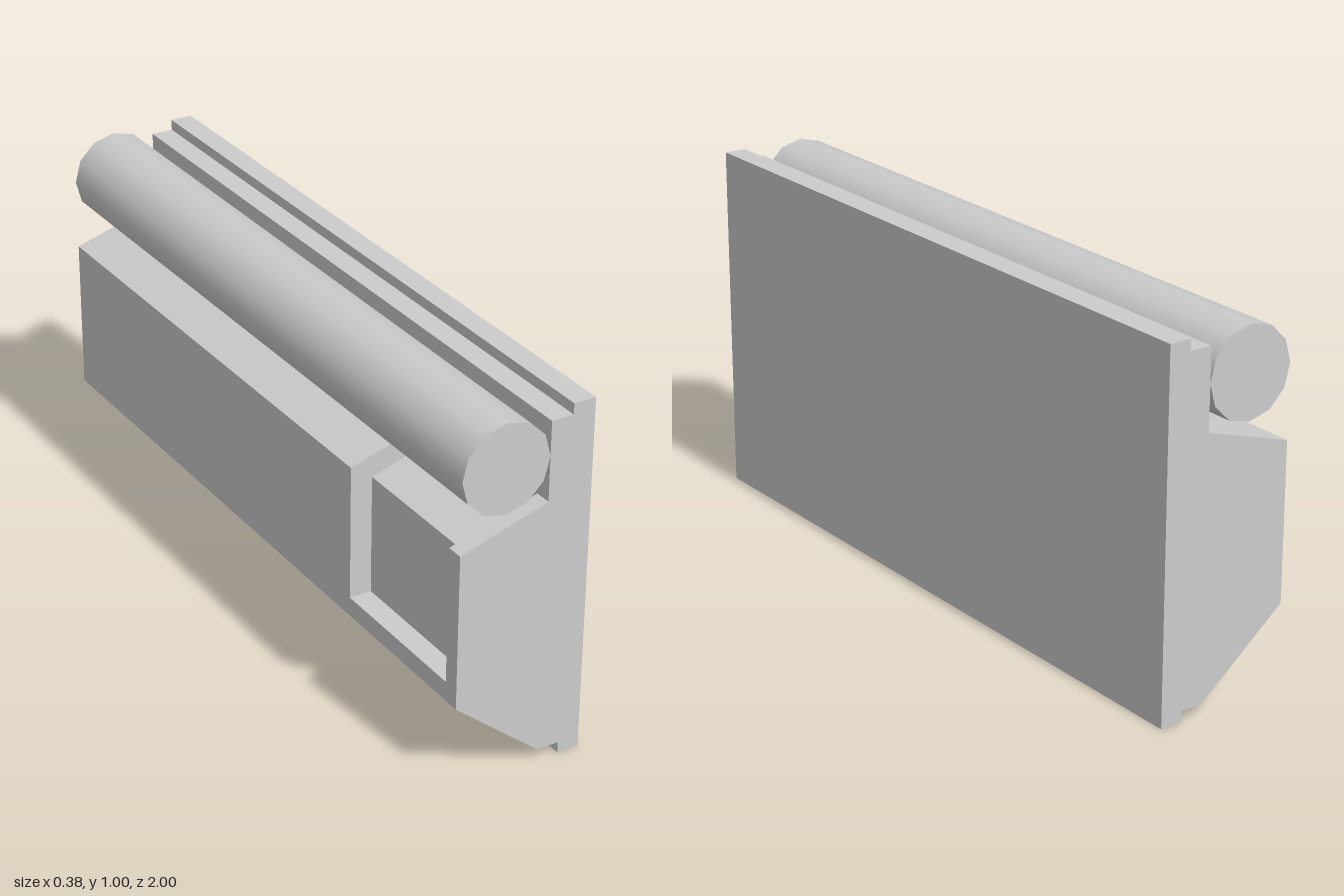
import * as THREE from 'three';

const material = new THREE.MeshStandardMaterial({ color: 0xcccccc });

// Extrude an x/y profile between two z positions
function slab(name, points, z0, z1) {
  const shape = new THREE.Shape(points.map(([x, y]) => new THREE.Vector2(x, y)));
  const geometry = new THREE.ExtrudeGeometry(shape, { depth: z1 - z0, bevelEnabled: false });
  geometry.translate(0, 0, z0);
  const mesh = new THREE.Mesh(geometry, material);
  mesh.name = name;
  return mesh;
}

export function createModel() {
  const group = new THREE.Group();
  group.name = 'railPanel';

  // Stepped backing plate, running down to the start of the bulge
  const plate = [
    [0.0625, 0.97], [0.125, 0.97], [0.125, 1], [0.1875, 1],
    [0.1875, 0], [0.125, 0], [0.125, 0.031], [0.0625, 0.031], [-0.1875, 0.239],
  ];
  const solid = [...plate, [-0.1875, 0.674], [0.0625, 0.75]];
  // Bulge with its upper and outer faces sunk to form the pocket
  const sunk = [...plate, [-0.1875, 0.293], [-0.125, 0.293], [-0.125, 0.63], [0.0625, 0.6875]];

  const pocketStart = 0.505;
  const pocketEnd = 0.953;
  group.add(slab('mainBody', solid, -1, pocketStart));
  group.add(slab('pocketBody', sunk, pocketStart, pocketEnd));
  group.add(slab('frontRim', solid, pocketEnd, 1));

  // Round handrail above the sloped ledge
  const rail = new THREE.Mesh(new THREE.CylinderGeometry(0.125, 0.125, 2, 12), material);
  rail.name = 'handrail';
  rail.rotation.x = Math.PI / 2;
  rail.position.set(-0.0625, 0.875, 0);
  group.add(rail);

  return group;
}
